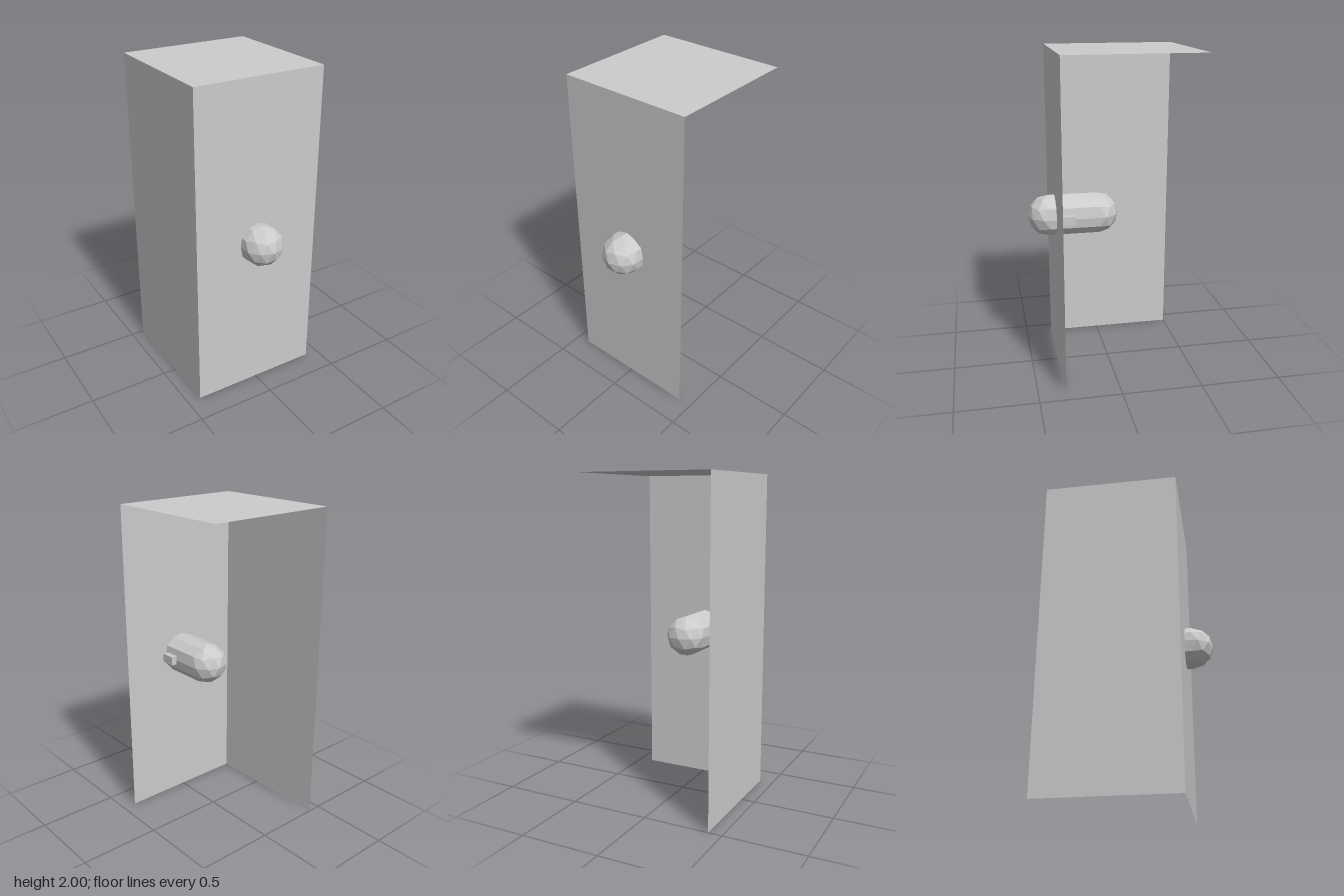
import * as THREE from 'three';
import { ConvexGeometry } from 'three/addons/geometries/ConvexGeometry.js';

const WIDTH = 0.83, HEIGHT = 2, FRONT = 0.33, BACK = -0.5;

export function createModel() {
  const model = new THREE.Group();
  const sheet = new THREE.MeshStandardMaterial({ color: 0xcccccc, side: THREE.DoubleSide });
  const solid = new THREE.MeshStandardMaterial({ color: 0xcccccc, flatShading: true });

  const add = (name, geometry, material, x, y, z) => {
    const mesh = new THREE.Mesh(geometry, material);
    mesh.name = name;
    mesh.position.set(x, y, z);
    model.add(mesh);
    return mesh;
  };

  // Three thin sheets: front, one side and top; the other sides stay open
  const depth = FRONT - BACK, midZ = (FRONT + BACK) / 2;
  add('frontPanel', new THREE.PlaneGeometry(WIDTH, HEIGHT), sheet, 0, HEIGHT / 2, FRONT);
  add('sidePanel', new THREE.PlaneGeometry(depth, HEIGHT), sheet, -WIDTH / 2, HEIGHT / 2, midZ)
    .rotation.y = -Math.PI / 2;
  add('topPanel', new THREE.PlaneGeometry(WIDTH, depth), sheet, 0, HEIGHT, midZ)
    .rotation.x = -Math.PI / 2;

  // Capsule through the front panel: a faceted ball pulled apart along z
  const stretch = 0.153;
  const ball = new THREE.IcosahedronGeometry(0.128, 1);
  ball.rotateZ(Math.atan(2 / (1 + Math.sqrt(5)))); // a corner points straight up
  const position = ball.getAttribute('position');
  const points = [];
  for (let i = 0; i < position.count; i++) {
    const p = new THREE.Vector3().fromBufferAttribute(position, i);
    for (const side of [-1, 1]) {
      if (p.z * side > -1e-4) points.push(new THREE.Vector3(p.x, p.y, p.z + side * stretch));
    }
  }
  add('capsule', new ConvexGeometry(points), solid, 0, 1, 0.216);

  // Small block on the capsule's side
  add('sideBlock', new THREE.BoxGeometry(0.065, 0.055, 0.09), solid, 0.122, 1, 0.265);

  return model;
}
